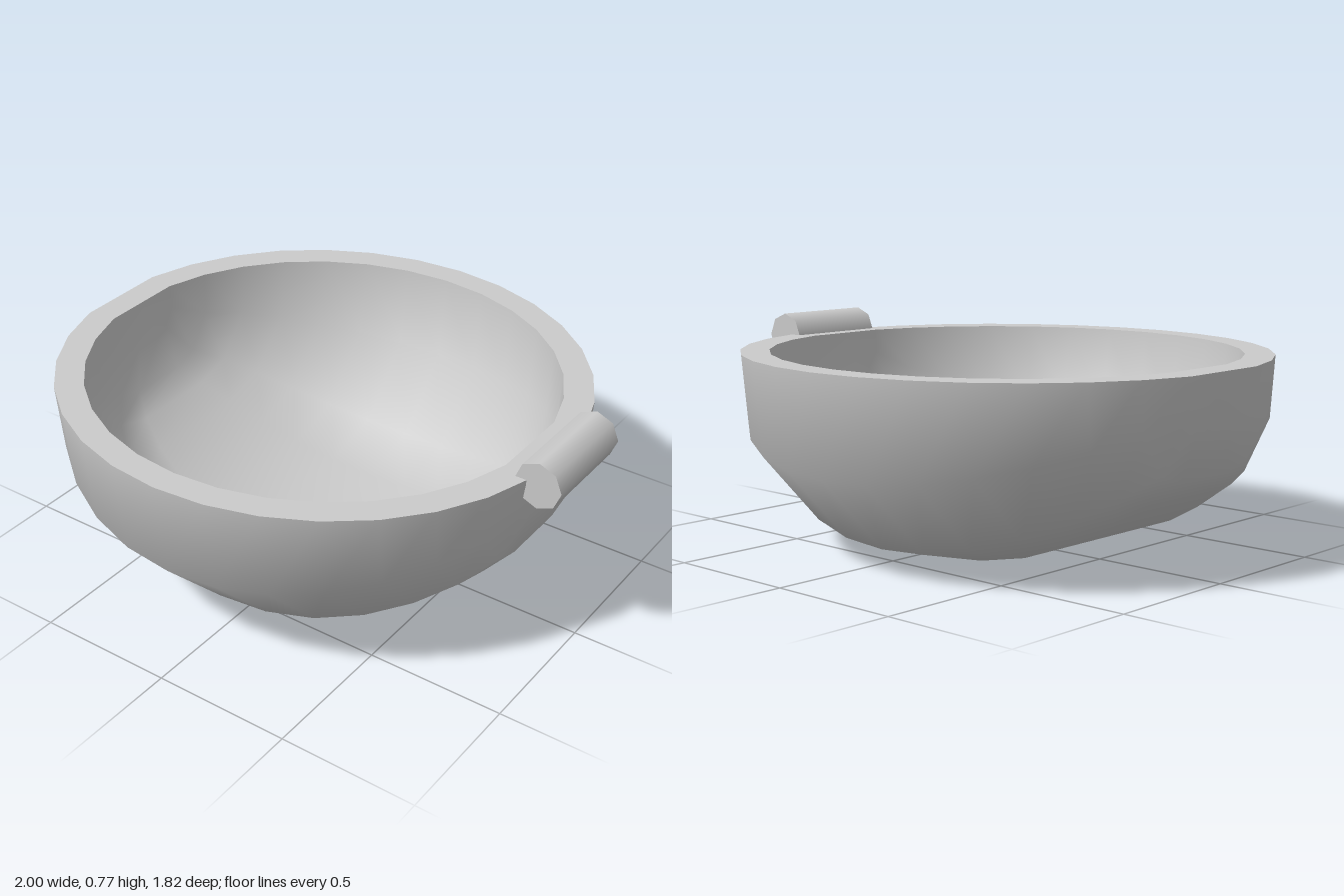
import * as THREE from 'three';

const RIM_Y = 0.692, CENTER_X = -0.06, RADIUS_X = 0.958, RADIUS_Z = 0.91, INNER = 0.89;
// Depth below the rim at each station, from the middle to the side
const DEPTHS = [0.69, 0.68, 0.645, 0.585, 0.51, 0.43, 0.35, 0.19];
// Half cross-section: [share of half width, share of depth]
const HALF = [[1, 0], [0.957, 0.51], [0.67, 0.9], [0.363, 1]];
const SECTION = [...HALF, ...HALF.map(([w, d]) => [-w, d]).reverse()];
const material = new THREE.MeshStandardMaterial({ color: 0xcccccc });

function station(i) {
  const a = i * Math.PI / 16;
  return { x: RADIUS_X * Math.sin(a), z: RADIUS_Z * Math.cos(a), depth: DEPTHS[Math.abs(i)] };
}

// Skin of the bowl: cross-sections along x, closed at both ends
function shell(scale, inward) {
  const positions = [], index = [], n = SECTION.length;
  for (let k = -8; k <= 8; k++) {
    const end = Math.abs(k) === 8;
    const s = station(Math.max(-7, Math.min(7, k)));
    const t = s.x / RADIUS_X;
    for (const [w, d] of SECTION) {
      const inset = end ? 0 : 0.025 * d * Math.sign(t) * t ** 8;
      positions.push(
        CENTER_X + (s.x - inset) * scale,
        RIM_Y - (end ? 0 : s.depth * d * scale),
        end ? 0 : s.z * w * scale);
    }
  }
  for (let i = 0; i < 16; i++) {
    for (let j = 0; j < n - 1; j++) {
      const a = i * n + j, b = a + 1, c = a + n, d = c + 1;
      if (inward) index.push(a, c, b, b, c, d);
      else index.push(a, b, c, b, d, c);
    }
  }
  const geometry = new THREE.BufferGeometry();
  geometry.setAttribute('position', new THREE.Float32BufferAttribute(positions, 3));
  geometry.setIndex(index);
  geometry.computeVertexNormals();
  return geometry;
}

// Plan outline of the rim
function outline(scale) {
  const points = [];
  for (const side of [1, -1]) {
    for (let i = -7; i <= 7; i++) {
      const s = station(i * side);
      points.push(new THREE.Vector2(CENTER_X + s.x * scale, side * s.z * scale));
    }
  }
  return points;
}

export function createModel() {
  const model = new THREE.Group();
  const add = (name, geometry) => {
    const mesh = new THREE.Mesh(geometry, material);
    mesh.name = name;
    model.add(mesh);
    return mesh;
  };

  add('bowlOutside', shell(1, false));
  add('bowlInside', shell(INNER, true));

  // Flat rim between the two skins
  const rimShape = new THREE.Shape(outline(1));
  rimShape.holes.push(new THREE.Path(outline(INNER)));
  add('rim', new THREE.ShapeGeometry(rimShape).rotateX(-Math.PI / 2)).position.y = RIM_Y;

  // Eight-sided grip lying across the rim
  const grip = add('handle', new THREE.CylinderGeometry(0.085, 0.085, 0.38, 8).rotateX(Math.PI / 2));
  grip.position.set(0.915, 0.685, 0.005);

  return model;
}
